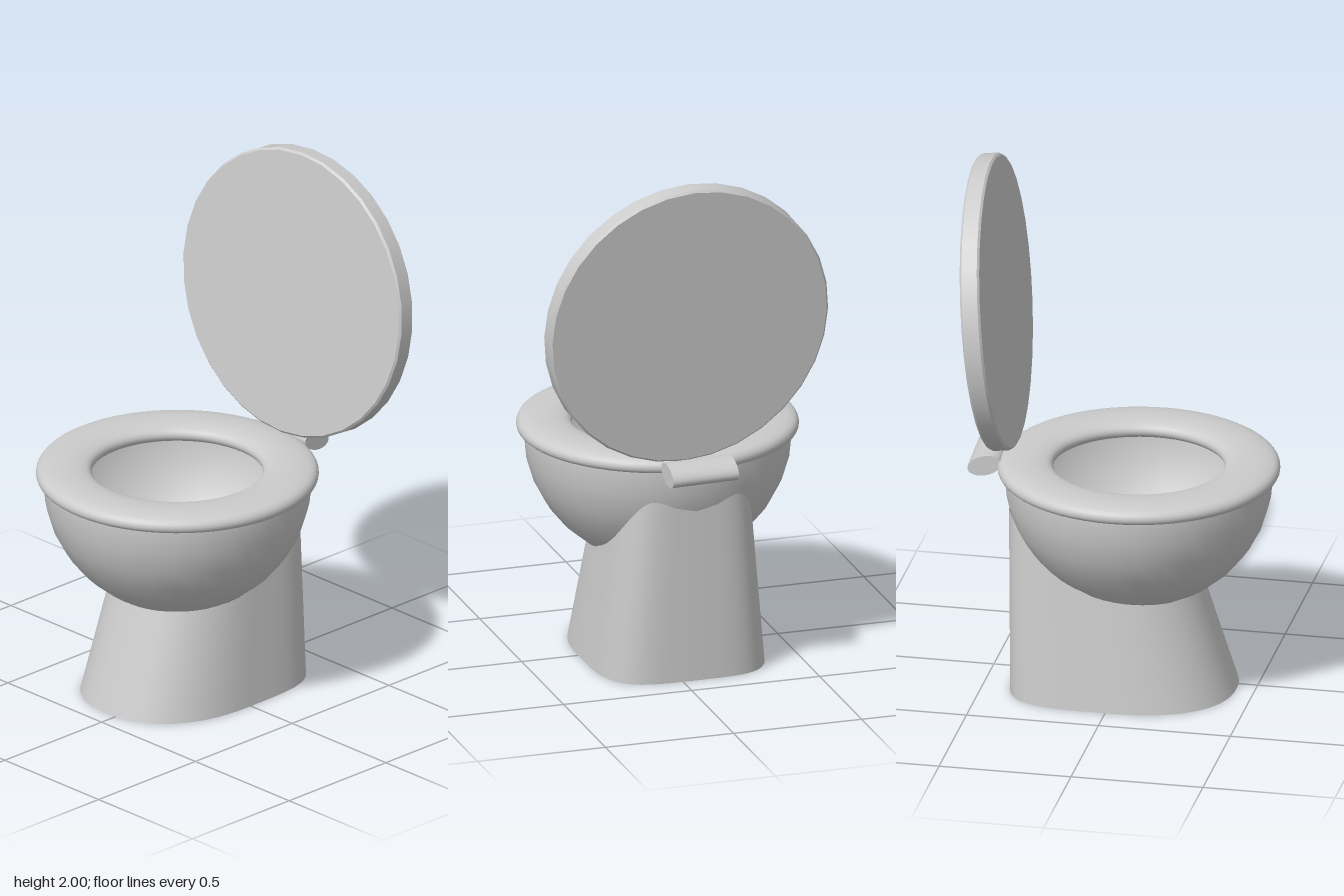
import * as THREE from 'three';
import { ParametricGeometry } from 'three/addons/geometries/ParametricGeometry.js';

const CX = -0.05, CZ = 0.06, RIM_Y = 0.84, BOWL_R = 0.5;
const grey = new THREE.MeshStandardMaterial({ color: 0xcccccc, side: THREE.DoubleSide });

function part(name, geometry, x = 0, y = 0, z = 0) {
  const mesh = new THREE.Mesh(geometry, grey);
  mesh.name = name;
  mesh.position.set(x, y, z);
  return mesh;
}

// Point on the pedestal wall: rounded front, squarer back, front leaning in as it rises
function pedestalPoint(angle, y) {
  const c = Math.cos(angle), s = Math.sin(angle);
  const n = s > 0 ? 4 : 2.3;
  const u = Math.sign(c) * Math.abs(c) ** (2 / n);
  const w = -Math.sign(s) * Math.abs(s) ** (2 / n);
  return new THREE.Vector3(CX + (0.33 - 0.11 * y) * u, y, 0.015 - 0.17 * y + (0.415 - 0.155 * y) * w);
}

// Height at which the wall meets the underside of the bowl
function meetHeight(angle) {
  const centre = new THREE.Vector3(CX, RIM_Y, CZ);
  let low = 0, high = 0.82;
  for (let i = 0; i < 24; i++) {
    const mid = (low + high) / 2;
    if (pedestalPoint(angle, mid).distanceTo(centre) > BOWL_R) low = mid;
    else high = mid;
  }
  return low;
}

export function createModel() {
  const model = new THREE.Group();
  model.name = 'toilet';

  // Bowl: open hemisphere
  model.add(part('bowl', new THREE.SphereGeometry(BOWL_R, 32, 8, 0, Math.PI * 2, Math.PI / 2, Math.PI / 2), CX, RIM_Y, CZ));

  // Seat ring: rounded outside, gently domed top
  const seat = new THREE.Shape();
  seat.moveTo(0.34, 0.84);
  seat.lineTo(0.505, 0.84);
  seat.bezierCurveTo(0.532, 0.845, 0.532, 0.88, 0.505, 0.892);
  seat.bezierCurveTo(0.47, 0.908, 0.38, 0.908, 0.345, 0.895);
  seat.bezierCurveTo(0.31, 0.885, 0.31, 0.85, 0.34, 0.84);
  model.add(part('seat', new THREE.LatheGeometry(seat.getPoints(8), 64), CX, 0, CZ));

  // Pedestal wall, trimmed along the bowl
  const wall = new ParametricGeometry((u, v, target) => {
    const a = u * Math.PI * 2;
    target.copy(pedestalPoint(a, v * meetHeight(a)));
  }, 64, 8);
  model.add(part('pedestal', wall));

  // Pedestal underside
  const foot = [];
  for (let i = 0; i < 64; i++) {
    const p = pedestalPoint((i / 64) * Math.PI * 2, 0);
    foot.push(new THREE.Vector2(p.x, p.z));
  }
  model.add(part('pedestalBase', new THREE.ShapeGeometry(new THREE.Shape(foot)).rotateX(Math.PI / 2)));

  // Raised lid: a disc leaning back, turned slightly
  const lid = new THREE.Group();
  lid.name = 'lid';
  lid.add(part('lidDisc', new THREE.CylinderGeometry(0.553, 0.553, 0.058, 32)));
  for (const side of [-1, 1]) {
    const bevel = new THREE.CylinderGeometry(side > 0 ? 0.545 : 0.553, side > 0 ? 0.553 : 0.545, 0.008, 32);
    lid.add(part('lidBevel', bevel, 0, side * 0.033, 0));
  }
  lid.position.set(0.02, 1.45, -0.495);
  lid.rotation.set(Math.PI / 2 - 0.1, 0.05, 0, 'YXZ');
  model.add(lid);

  // Hinge: flattened cylinder behind the seat
  const hinge = part('hinge', new THREE.CylinderGeometry(1, 1, 0.26, 32)
    .rotateZ(Math.PI / 2).scale(1, 0.038, 0.065), -0.03, 0.863, -0.51);
  hinge.rotation.set(-0.28, 0.05, 0, 'YXZ');
  model.add(hinge);

  return model;
}
